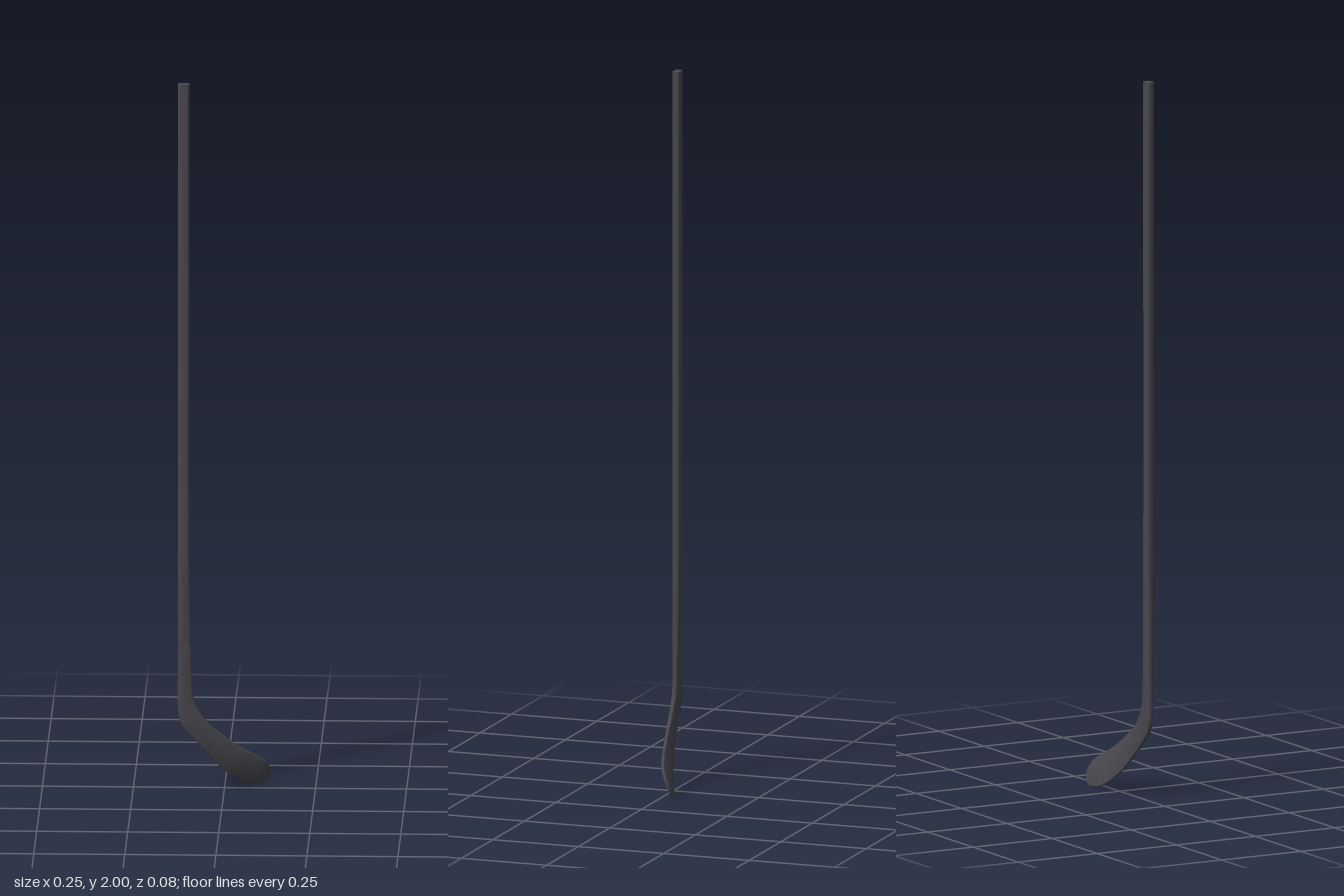
import * as THREE from 'three';
import { toCreasedNormals } from 'three/addons/utils/BufferGeometryUtils.js';

// Stations from butt end to toe: outer edge xyz, inner edge xyz, thickness
const STATIONS = [
  [-0.127, 2, 0.028, -0.095, 2, 0.028, 0.021],
  [-0.127, 0.66, 0.028, -0.095, 0.66, 0.028, 0.021],
  [-0.127, 0.5, 0.028, -0.093, 0.5, 0.028, 0.018],
  [-0.127, 0.34, 0.028, -0.09, 0.37, 0.028, 0.016],
  [-0.126, 0.22, 0.028, -0.083, 0.26, 0.028, 0.014],
  [-0.115, 0.182, 0.028, -0.066, 0.222, 0.028, 0.013],
  [-0.085, 0.146, 0.025, -0.04, 0.188, 0.026, 0.012],
  [-0.04, 0.094, 0.015, 0, 0.153, 0.02, 0.01],
  [-0.001, 0.052, 0.002, 0.036, 0.125, 0.013, 0.009],
  [0.035, 0.022, -0.013, 0.07, 0.104, 0.005, 0.008],
  [0.063, 0.006, -0.026, 0.098, 0.086, -0.006, 0.008],
  [0.087, 0.001, -0.035, 0.116, 0.07, -0.016, 0.008],
  [0.107, 0.006, -0.039, 0.124, 0.051, -0.026, 0.007],
  [0.117, 0.017, -0.038, 0.125, 0.036, -0.032, 0.006],
];
const LAST = STATIONS.length - 1;
const edgeCurve = (k) =>
  new THREE.CatmullRomCurve3(STATIONS.map((s) => new THREE.Vector3(s[k], s[k + 1], s[k + 2])));
const outer = edgeCurve(0);
const inner = edgeCurve(3);
const CORNER_STEPS = 4;

// Rounded-rectangle ring spanning the two edges at station position s
function ring(s) {
  const u = s / LAST;
  const a = outer.getPoint(u);
  const b = inner.getPoint(u);
  const i = Math.min(Math.floor(s), LAST - 1);
  const t = THREE.MathUtils.lerp(STATIONS[i][6], STATIONS[i + 1][6], s - i);
  const across = b.clone().sub(a);
  const halfW = across.length() / 2;
  const mid = a.clone().add(b).multiplyScalar(0.5);
  const mean = (v) => outer.getPoint(v).add(inner.getPoint(v));
  const along = mean(Math.min(1, u + 0.002)).sub(mean(Math.max(0, u - 0.002)));
  const normal = across.clone().cross(along).normalize();
  across.normalize();
  const r = Math.min(t * THREE.MathUtils.lerp(0.26, 0.46, THREE.MathUtils.smoothstep(s, 1, 7)), halfW * 0.9);
  const points = [];
  [[1, 1], [-1, 1], [-1, -1], [1, -1]].forEach(([sx, sy], q) => {
    for (let k = 0; k <= CORNER_STEPS; k++) {
      const ang = (q + k / CORNER_STEPS) * Math.PI / 2;
      const x = sx * (halfW - r) + Math.cos(ang) * r;
      const y = sy * (t / 2 - r) + Math.sin(ang) * r;
      points.push(mid.clone().addScaledVector(across, x).addScaledVector(normal, y));
    }
  });
  return { points, mid };
}

// Skin the rings between two stations and close both ends
function loft(from, to, steps) {
  const rings = [];
  for (let i = 0; i <= steps; i++) rings.push(ring(from + (to - from) * i / steps));
  const n = rings[0].points.length;
  const pos = [];
  const index = [];
  rings.forEach((r) => r.points.forEach((p) => pos.push(p.x, p.y, p.z)));
  for (let i = 0; i < steps; i++) {
    for (let j = 0; j < n; j++) {
      const a = i * n + j, b = i * n + (j + 1) % n;
      index.push(a, a + n, b, b, a + n, b + n);
    }
  }
  const startMid = pos.length / 3;
  for (const r of [rings[0], rings[steps]]) pos.push(r.mid.x, r.mid.y, r.mid.z);
  for (let j = 0; j < n; j++) {
    const k = (j + 1) % n;
    index.push(startMid, j, k, startMid + 1, steps * n + k, steps * n + j);
  }
  const geo = new THREE.BufferGeometry();
  geo.setAttribute('position', new THREE.Float32BufferAttribute(pos, 3));
  geo.setIndex(index);
  return toCreasedNormals(geo, Math.PI / 4);
}

export function createModel() {
  const group = new THREE.Group();
  group.name = 'hockeyStick';
  const material = new THREE.MeshStandardMaterial({ color: 0x47474d });
  const add = (name, geometry) => {
    const mesh = new THREE.Mesh(geometry, material);
    mesh.name = name;
    group.add(mesh);
  };
  // Straight shaft, then the tapered neck flowing into the curved blade
  add('shaft', loft(0, 2, 16));
  add('blade', loft(2, LAST, 66));
  return group;
}
